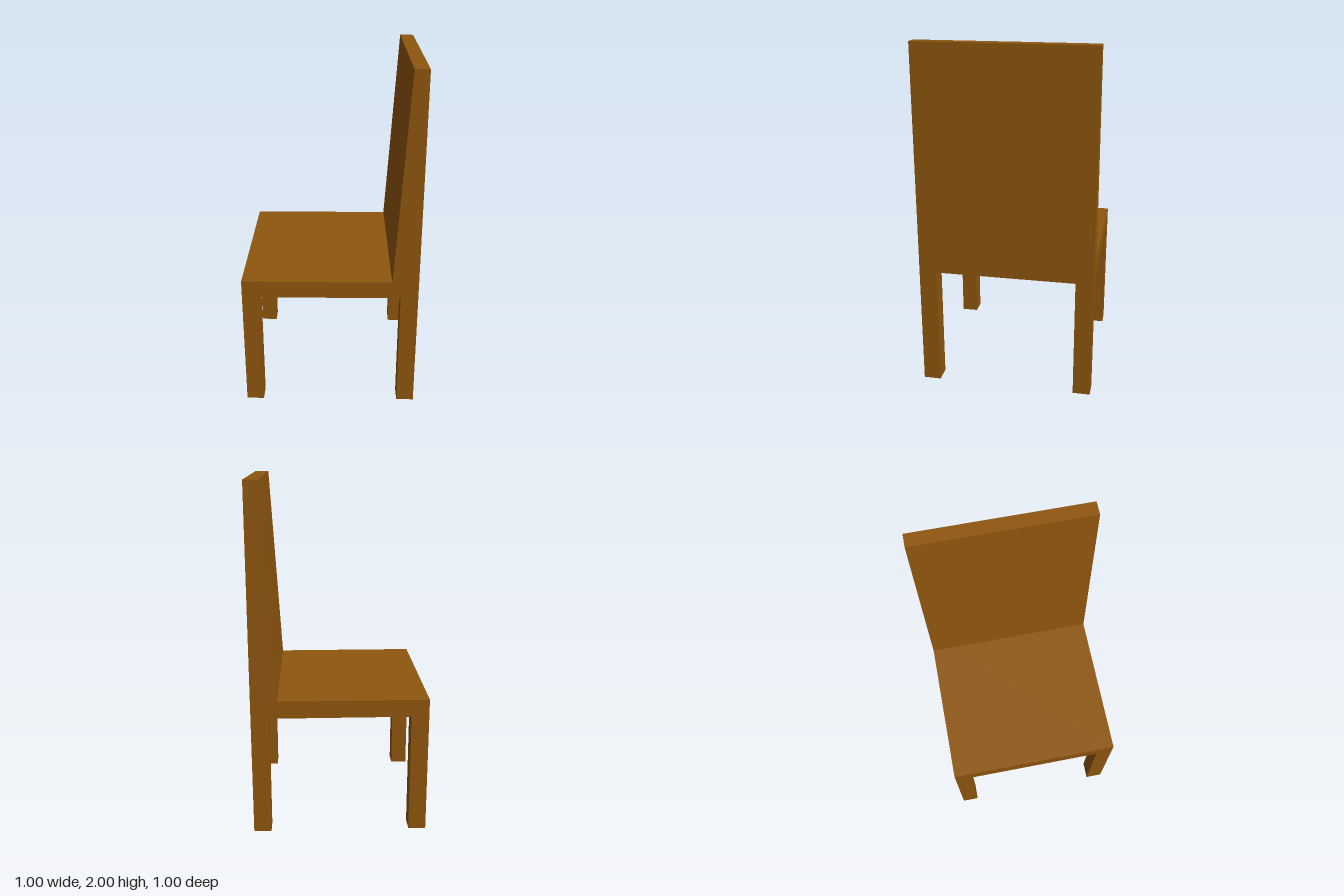
import * as THREE from 'three';

export function createModel() {
  const chair = new THREE.Group();
  chair.name = 'chair';
  const wood = new THREE.MeshStandardMaterial({ color: 0x8f560e });

  const add = (name, geometry, x, y, z) => {
    const mesh = new THREE.Mesh(geometry, wood);
    mesh.name = name;
    mesh.position.set(x, y, z);
    chair.add(mesh);
  };

  // Seat slab
  add('seat', new THREE.BoxGeometry(1, 0.1, 1), 0, 0.75, 0);

  // Backrest: thicker at the seat, tapering towards the top on its inner face
  const profile = new THREE.Shape([
    new THREE.Vector2(0.35, 0.8),
    new THREE.Vector2(0.5, 0.8),
    new THREE.Vector2(0.5, 2),
    new THREE.Vector2(0.42, 2),
  ]);
  add('backrest', new THREE.ExtrudeGeometry(profile, { depth: 1, bevelEnabled: false }), 0, 0, -0.5);

  // Four square legs, one under each corner
  const leg = new THREE.BoxGeometry(0.1, 0.7, 0.1);
  for (const x of [-0.45, 0.45]) {
    for (const z of [-0.45, 0.45]) {
      add(`${z > 0 ? 'front' : 'back'}${x > 0 ? 'Left' : 'Right'}Leg`, leg, x, 0.35, z);
    }
  }

  return chair;
}
